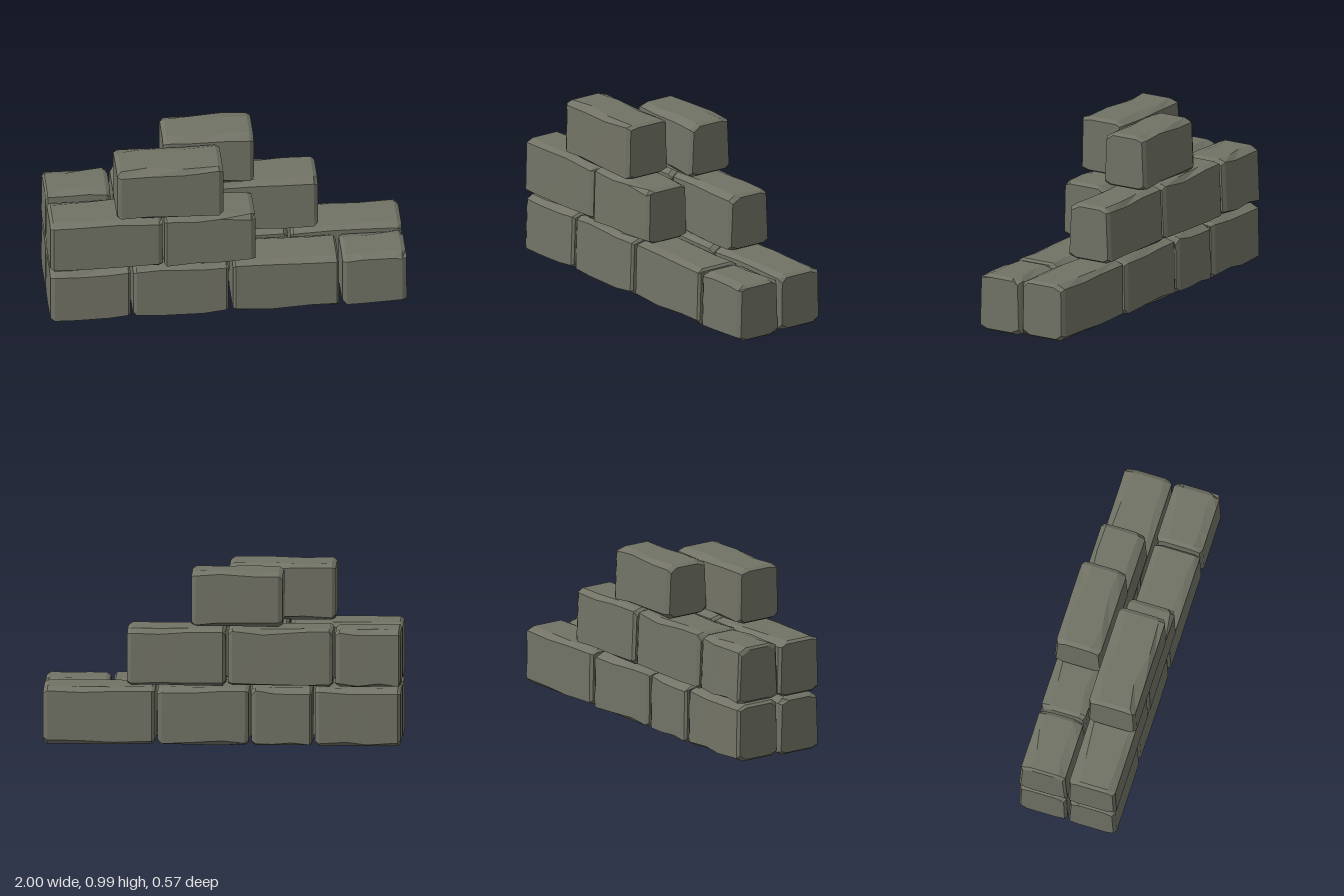
import * as THREE from 'three';

const material = new THREE.MeshStandardMaterial({ color: 0x727366, flatShading: true, roughness: 0.9 });

// Small seeded generator for the chipped edges
function seeded(seed) {
  let s = seed * 7919 + 17;
  return (lo, hi) => {
    s = (s * 16807) % 2147483647;
    return lo + (hi - lo) * (s / 2147483647);
  };
}

// A rough stone: eight-sided sections lofted along x, worn at both ends
function stoneGeometry(x0, x1, y0, y1, z0, z1, seed) {
  const rand = seeded(seed);
  rand(0, 1);
  const len = x1 - x0;
  const stations = [x0, x0 + rand(0.012, 0.025), x0 + len * rand(0.25, 0.4),
    x0 + len * rand(0.6, 0.75), x1 - rand(0.012, 0.025), x1];
  const taper = rand(0.003, 0.013);
  const positions = [];
  const index = [];
  const n = 8;

  stations.forEach((x, i) => {
    const end = i === 0 || i === stations.length - 1;
    const inset = end ? 0.013 : 0;
    const b = y0 + inset, t = y1 - inset;
    const back = z0 + inset, front = z1 - inset;
    const cy = () => rand(0.009, 0.03);
    const cz = () => rand(0.025, 0.06);
    const ring = [
      [b + cy(), front], [t - cy(), front - taper],
      [t, front - taper - cz()], [t, back + taper + cz()],
      [t - cy(), back + taper], [b + cy(), back],
      [b, back + cz()], [b, front - cz()],
    ];
    ring.forEach(([y, z]) => positions.push(x, y, z));
  });

  for (let i = 0; i < stations.length - 1; i++) {
    for (let j = 0; j < n; j++) {
      const a = i * n + j, d = i * n + (j + 1) % n;
      index.push(a, a + n, d + n, a, d + n, d);
    }
  }
  // End faces
  const last = (stations.length - 1) * n;
  for (let j = 1; j < n - 1; j++) {
    index.push(0, j, j + 1, last, last + j + 1, last + j);
  }

  const indexed = new THREE.BufferGeometry();
  indexed.setAttribute('position', new THREE.Float32BufferAttribute(positions, 3));
  indexed.setIndex(index);
  const geometry = indexed.toNonIndexed();
  geometry.computeVertexNormals();
  return geometry;
}

// Courses of each wall leaf: height range and the x range of every stone
const leaves = [
  {
    name: 'front', z: [0.002, 0.284],
    courses: [
      { y: [0, 0.327], stones: [[-1, -0.55], [-0.535, 0], [0.025, 0.62], [0.64, 1]] },
      { y: [0.338, 0.658], stones: [[-1, -0.37], [-0.36, 0.15]] },
      { y: [0.672, 0.99], stones: [[-0.625, -0.03]] },
    ],
  },
  {
    name: 'back', z: [-0.284, -0.002],
    courses: [
      { y: [0.01, 0.335], stones: [[-1, -0.52], [-0.505, -0.165], [-0.15, 0.36], [0.375, 1]] },
      { y: [0.347, 0.67], stones: [[-1, -0.635], [-0.62, -0.035], [-0.02, 0.53]] },
      { y: [0.684, 0.994], stones: [[-0.34, 0.17]] },
    ],
  },
];

export function createModel() {
  const model = new THREE.Group();
  model.name = 'stoneWall';
  let seed = 1;
  for (const leaf of leaves) {
    leaf.courses.forEach((course, row) => {
      const group = new THREE.Group();
      group.name = `${leaf.name}Course${row + 1}`;
      course.stones.forEach(([x0, x1], k) => {
        const mesh = new THREE.Mesh(
          stoneGeometry(x0, x1, ...course.y, ...leaf.z, seed++), material);
        mesh.name = `${leaf.name}Stone${row + 1}_${k + 1}`;
        group.add(mesh);
      });
      model.add(group);
    });
  }
  return model;
}
